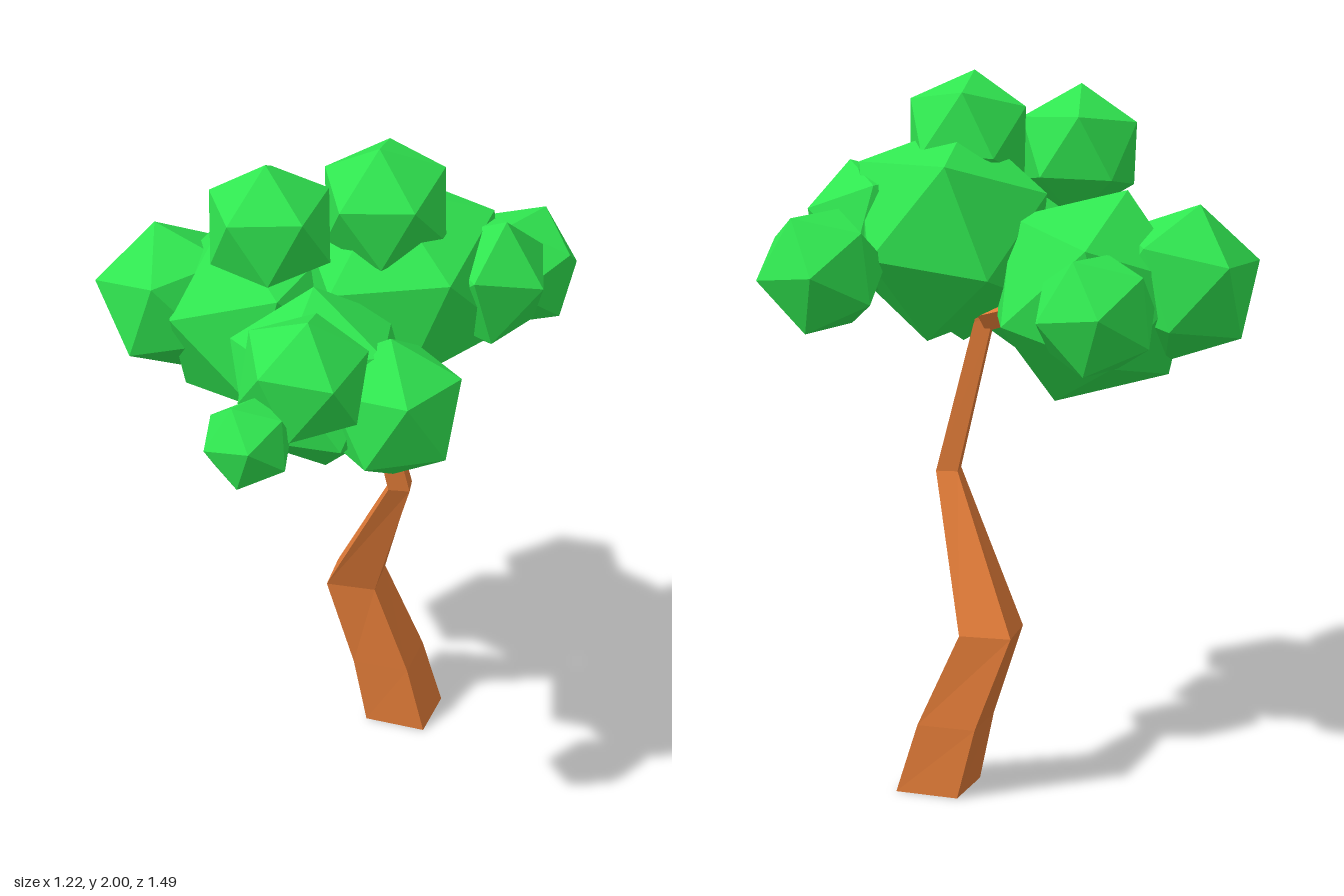
import * as THREE from 'three';

const bark = new THREE.MeshStandardMaterial({ color: 0xdf7a37, flatShading: true });
const leaf = new THREE.MeshStandardMaterial({ color: 0x30e650, flatShading: true });
const vec = (a) => new THREE.Vector3(...a);

// Four-sided trunk lofted through level rings: [x, y, z, u, v], (u, v) being one corner of the square
function loftSquare(rings) {
  const pos = [], index = [];
  rings.forEach(([x, y, z, u, v], i) => {
    for (const [dx, dz] of [[u, v], [-v, u], [-u, -v], [v, -u]]) pos.push(x + dx, y, z + dz);
    if (i === 0) return;
    for (let k = 0; k < 4; k++) {
      const a = (i - 1) * 4 + k, b = (i - 1) * 4 + (k + 1) % 4;
      index.push(a, a + 4, b, b, a + 4, b + 4);
    }
  });
  const t = (rings.length - 1) * 4;
  index.push(0, 1, 2, 0, 2, 3, t, t + 2, t + 1, t, t + 3, t + 2);
  const g = new THREE.BufferGeometry();
  g.setAttribute('position', new THREE.Float32BufferAttribute(pos, 3));
  g.setIndex(index);
  const flat = g.toNonIndexed();
  flat.computeVertexNormals();
  return flat;
}

// Tapered square limb between two points
function limb(from, to, r0, r1) {
  const a = vec(from), b = vec(to), d = b.clone().sub(a);
  const m = new THREE.Mesh(new THREE.CylinderGeometry(r1, r0, d.length(), 4), bark);
  m.position.copy(a).add(b).multiplyScalar(0.5);
  m.quaternion.setFromUnitVectors(new THREE.Vector3(0, 1, 0), d.normalize());
  return m;
}

// Icosahedron turned so one corner points along +y and a neighbouring corner leans to -x
const golden = (1 + Math.sqrt(5)) / 2;
const clumpGeometry = new THREE.IcosahedronGeometry(1, 0).rotateZ(Math.atan(1 / golden));

// Leaf clump with its top corner along apex and a neighbouring corner towards side
function clump([center, r, apex, side]) {
  const m = new THREE.Mesh(clumpGeometry, leaf);
  const y = vec(apex).normalize();
  const s = vec(side);
  const x = s.addScaledVector(y, -s.dot(y)).normalize().negate();
  const z = new THREE.Vector3().crossVectors(x, y);
  m.quaternion.setFromRotationMatrix(new THREE.Matrix4().makeBasis(x, y, z));
  m.position.set(...center);
  m.scale.setScalar(r);
  return m;
}

export function createModel() {
  const tree = new THREE.Group();
  tree.name = 'tree';

  // Crooked trunk
  const trunk = new THREE.Mesh(loftSquare([
    [0.117, 0, -0.365, 0.115, 0.06],
    [0.068, 0.2, -0.345, 0.108, 0.052],
    [-0.025, 0.465, -0.30, 0.097, 0.038],
    [0.19, 0.885, -0.217, 0.042, 0.012],
    [0.105, 1.33, -0.15, 0.034, 0.01],
  ]), bark);
  trunk.name = 'trunk';
  tree.add(trunk);

  // Branches into the leaf clumps
  const fork = [0.105, 1.32, -0.16];
  const branches = new THREE.Group();
  branches.name = 'branches';
  for (const tip of [[0.16, 1.36, 0.12], [0.16, 1.5, -0.19], [-0.1, 1.38, -0.1]]) {
    branches.add(limb(fork, tip, 0.04, 0.03));
  }
  tree.add(branches);

  // Foliage: centre, radius, apex direction, neighbouring corner direction
  const foliage = new THREE.Group();
  foliage.name = 'foliage';
  const clumps = {
    leftTopClump: [[-0.01, 1.77, 0.13], 0.19, [0.05, 1, 0.15], [0, 0.4, 0.9]],
    topClump: [[0.21, 1.815, -0.095], 0.192, [0.1, 0.95, 0.3], [0.77, 0.5, -0.65]],
    outerLeftClump: [[-0.402, 1.435, 0.08], 0.225, [-0.2, 1, 0.08], [-0.92, 0.25, -0.36]],
    outerRightClump: [[0.432, 1.38, 0.17], 0.207, [0, 1, 0.05], [0.78, 0.5, -0.44]],
    rearClump: [[0.325, 1.485, -0.59], 0.185, [0.1, 0.85, 0.5], [0.95, 0.3, -0.1]],
    rearLeftClump: [[-0.38, 1.395, -0.3], 0.18, [0.05, 0.85, -0.5], [0.95, 0.3, 0]],
    rearRightClump: [[0.39, 1.57, -0.31], 0.197, [1, 0.1, 0], [0.4, 0.9, 0]],
    largeLeftClump: [[-0.185, 1.395, -0.05], 0.31, [-0.24, 0.95, 0.22], [-0.29, 0.14, 0.95]],
    largeRearClump: [[0.205, 1.56, -0.195], 0.313, [0, 0.95, 0.3], [-0.09, 0.15, 1]],
    largeFrontClump: [[0.21, 1.41, 0.195], 0.263, [-0.08, 1, 0], [-0.87, 0.4, 0.5]],
    frontClump: [[0.33, 1.54, 0.425], 0.185, [0.2, 0.95, 0.15], [0.72, 0.4, -0.58]],
    smallFrontClump: [[0.31, 1.43, 0.63], 0.125, [-0.1, 0.95, 0.4], [-0.4, 0.24, 0.92]],
  };
  for (const [name, spec] of Object.entries(clumps)) {
    const m = clump(spec);
    m.name = name;
    foliage.add(m);
  }
  tree.add(foliage);
  return tree;
}
